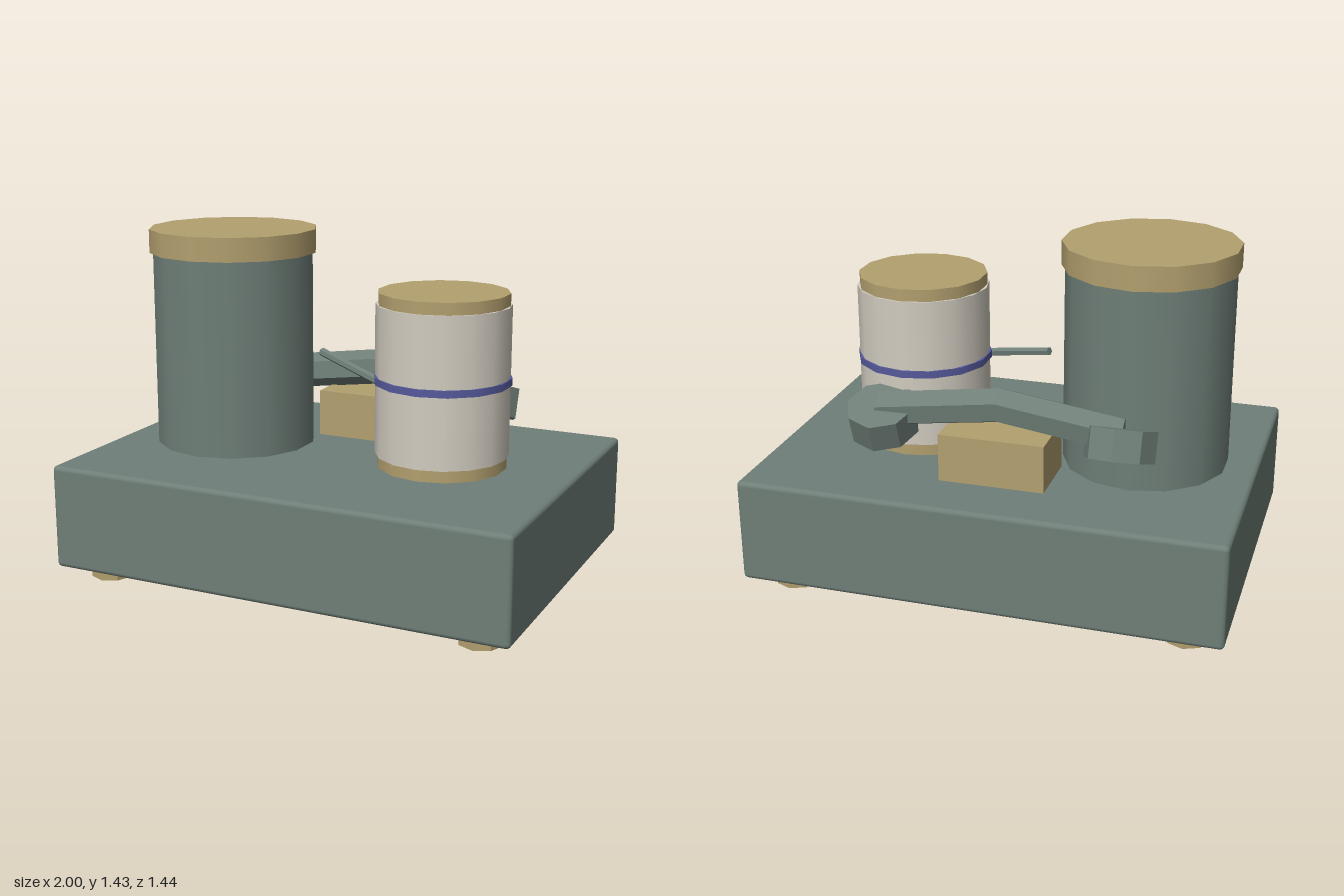
import * as THREE from 'three';
import { RoundedBoxGeometry } from 'three/addons/geometries/RoundedBoxGeometry.js';

export function createModel() {
  const root = new THREE.Group();
  root.name = 'deskApparatus';
  const material = (name, color, flatShading = false) => {
    const m = new THREE.MeshStandardMaterial({ color, flatShading });
    m.name = name;
    return m;
  };
  const green = material('greyGreen', 0x6f7f78);
  const brass = material('brass', 0xb3a06f);
  const ivory = material('ivory', 0xd2ccc0);
  const blue = material('blue', 0x565a9c);

  const add = (name, geometry, mat, x = 0, y = 0, z = 0) => {
    const mesh = new THREE.Mesh(geometry, mat);
    mesh.name = name;
    mesh.position.set(x, y, z);
    root.add(mesh);
    return mesh;
  };
  // Upright drum between two heights
  const drum = (name, r, y0, y1, sides, mat, x, z) =>
    add(name, new THREE.CylinderGeometry(r, r, y1 - y0, sides), mat, x, (y0 + y1) / 2, z);
  // Faceted copy of a geometry
  const faceted = (g) => {
    const f = g.toNonIndexed();
    f.computeVertexNormals();
    return f;
  };

  // Base and feet
  add('base', new RoundedBoxGeometry(2, 0.44, 1.44, 2, 0.02), green, 0, 0.28, 0);
  for (const x of [-0.83, 0.83])
    for (const z of [-0.555, 0.555])
      add('foot', faceted(new THREE.CylinderGeometry(0.09, 0.09, 0.07, 8)), brass, x, 0.035, z);

  // Tall canister with lid
  drum('canister', 0.345, 0.49, 1.34, 14, green, -0.53, 0);
  drum('canisterLid', 0.36, 1.33, 1.43, 14, brass, -0.53, 0);

  // Ivory roll between brass end caps, with a blue band
  drum('rollBottomCap', 0.27, 0.49, 0.56, 14, brass, 0.44, 0);
  drum('roll', 0.277, 0.55, 1.175, 16, ivory, 0.44, 0);
  drum('rollTopCap', 0.27, 1.17, 1.225, 14, brass, 0.44, 0);
  drum('rollBand', 0.285, 0.85, 0.88, 14, blue, 0.44, 0);

  // Thin lever resting against the roll
  const tip = new THREE.Vector3(-0.11, 0.925, 0);
  const heel = new THREE.Vector3(0.21, 0.85, 0.115);
  const lever = add('lever', faceted(new THREE.CylinderGeometry(0.018, 0.018, tip.distanceTo(heel), 6)), green);
  lever.position.copy(tip).lerp(heel, 0.5);
  lever.quaternion.setFromUnitVectors(new THREE.Vector3(0, 1, 0), heel.clone().sub(tip).normalize());

  // Cradle block
  add('cradle', new THREE.BoxGeometry(0.44, 0.21, 0.27), brass, 0, 0.595, -0.335);

  // Handset grip: six-sided bar bent down from the middle
  const grip = new THREE.CylinderGeometry(0.077, 0.077, 1.03, 6, 2);
  grip.rotateZ(Math.PI / 2);
  grip.rotateX(Math.PI / 6 - 0.12);
  const p = grip.attributes.position;
  for (let i = 0; i < p.count; i++) p.setY(i, p.getY(i) - 0.14 * Math.abs(p.getX(i)));
  add('handsetGrip', faceted(grip), green, 0, 0.802, -0.34);

  // Handset cups, tilted opposite ways
  for (const s of [-1, 1]) {
    const cup = add('handsetCup', faceted(new THREE.CylinderGeometry(0.145, 0.145, 0.127, 8)), green, s * 0.5, 0.7, -0.352);
    cup.rotation.x = -s * 0.35;
  }
  return root;
}
